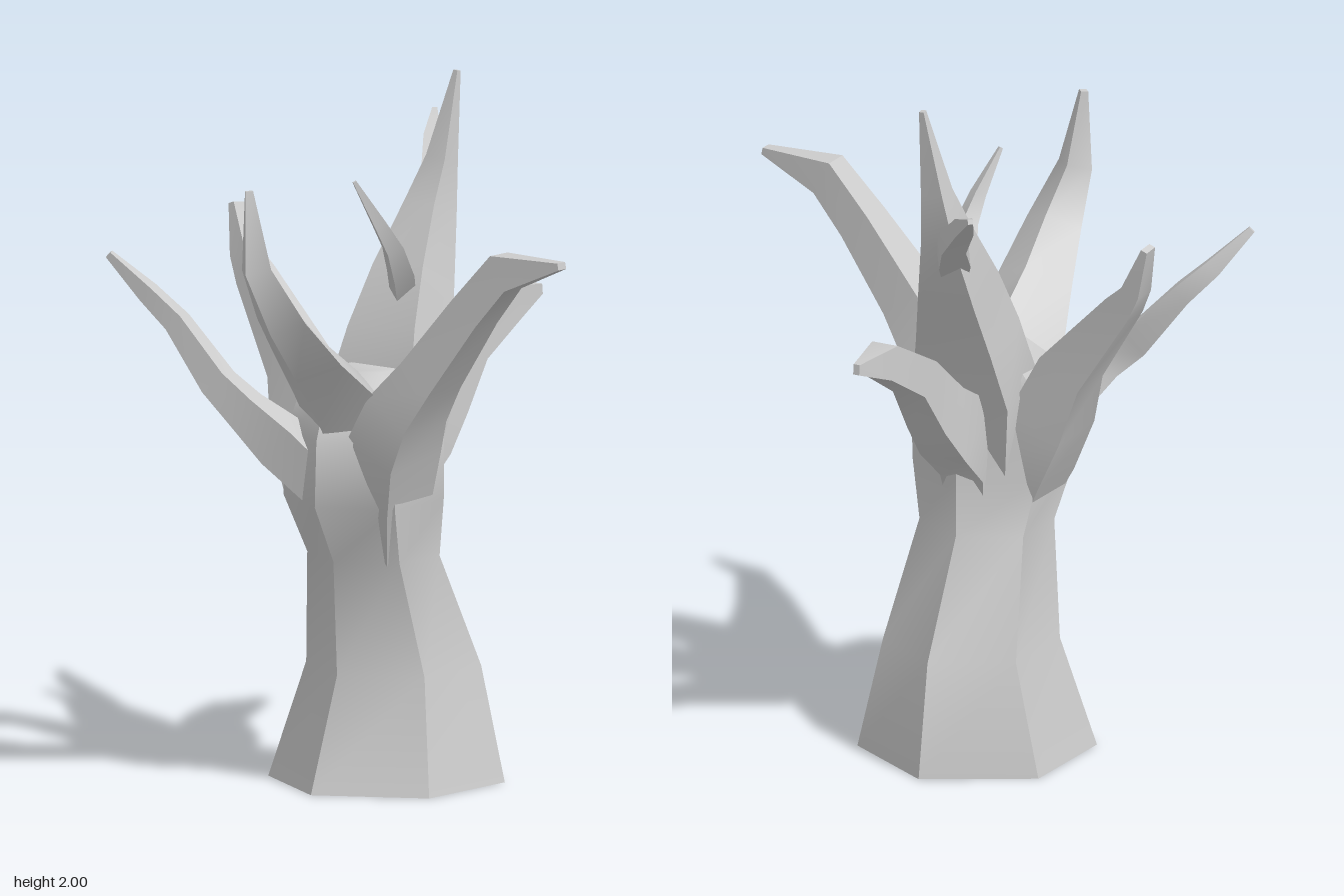
import * as THREE from 'three';
import { toCreasedNormals } from 'three/addons/utils/BufferGeometryUtils.js';

const material = new THREE.MeshStandardMaterial({ color: 0xcccccc });

// Skin a list of equal-sided rings and close both ends
function loft(name, rings) {
  const n = rings[0].length;
  const last = (rings.length - 1) * n;
  const index = [];
  for (let i = 0; i < rings.length - 1; i++) {
    for (let j = 0; j < n; j++) {
      const a = i * n + j, b = i * n + (j + 1) % n;
      index.push(a, b, b + n, a, b + n, a + n);
    }
  }
  for (let j = 1; j < n - 1; j++) {
    index.push(0, j + 1, j);
    index.push(last, last + j, last + j + 1);
  }
  const geometry = new THREE.BufferGeometry().setFromPoints(rings.flat());
  geometry.setIndex(index);
  const mesh = new THREE.Mesh(toCreasedNormals(geometry, 0.75), material);
  mesh.name = name;
  return mesh;
}

// Four-sided limb through stations [x, y, z, width, height].
// heading is its horizontal direction [x, z]; diamond turns the section by 45 degrees.
function limb(name, heading, stations, diamond = false) {
  const points = stations.map(([x, y, z]) => new THREE.Vector3(x, y, z));
  const across = new THREE.Vector3(heading[1], 0, -heading[0]).normalize();
  const corners = diamond
    ? [[1, 0], [0, 1], [-1, 0], [0, -1]]
    : [[1, -1], [1, 1], [-1, 1], [-1, -1]];
  const rings = stations.map(([, , , w, h], i) => {
    const before = points[Math.max(i - 1, 0)];
    const after = points[Math.min(i + 1, points.length - 1)];
    const along = after.clone().sub(before).normalize();
    const up = along.clone().cross(across).normalize();
    const side = up.clone().cross(along);
    return corners.map(([s, u]) => points[i].clone()
      .addScaledVector(side, s * w / 2)
      .addScaledVector(up, u * h / 2));
  });
  return loft(name, rings);
}

export function createModel() {
  const tree = new THREE.Group();
  tree.name = 'bareTree';

  // Six-sided trunk: [y, centre x, centre z, radius x, radius z]
  const trunk = [
    [0, -0.005, -0.085, 0.34, 0.34],
    [0.33, 0.025, -0.083, 0.255, 0.25],
    [0.66, -0.07, -0.08, 0.18, 0.195],
    [0.83, -0.12, -0.075, 0.22, 0.235],
    [1.02, -0.125, -0.065, 0.22, 0.23],
    [1.12, -0.105, -0.075, 0.195, 0.195],
    [1.2, -0.09, -0.08, 0.1, 0.1],
  ].map(([y, cx, cz, rx, rz]) => Array.from({ length: 6 }, (_, k) => {
    const a = (k + 0.5) * Math.PI / 3;
    return new THREE.Vector3(cx + rx * Math.sin(a), y, cz + rz * Math.cos(a));
  }));
  tree.add(loft('trunk', trunk));

  // Main limbs, each rooted inside the trunk
  tree.add(limb('frontBranch', [0, 1], [
    [-0.1, 0.62, -0.03, 0.1, 0.14],
    [-0.15, 0.84, 0.03, 0.19, 0.18],
    [-0.19, 1.0, 0.09, 0.21, 0.18],
    [-0.207, 1.12, 0.155, 0.18, 0.16],
    [-0.21, 1.23, 0.245, 0.14, 0.13],
    [-0.205, 1.43, 0.4, 0.1, 0.11],
    [-0.2, 1.555, 0.51, 0.08, 0.11],
    [-0.2, 1.595, 0.715, 0.035, 0.02],
  ]));
  tree.add(limb('rightBranch', [-1, 0], [
    [-0.1, 0.85, -0.06, 0.28, 0.24],
    [-0.25, 1.13, -0.055, 0.34, 0.22],
    [-0.41, 1.27, -0.045, 0.24, 0.15],
    [-0.54, 1.4, -0.035, 0.18, 0.12],
    [-0.62, 1.555, -0.06, 0.11, 0.1],
    [-0.623, 1.78, -0.085, 0.03, 0.03],
  ], true));
  tree.add(limb('leftLowBranch', [1, 0], [
    [-0.03, 0.68, -0.08, 0.1, 0.14],
    [0.0, 0.86, -0.08, 0.14, 0.17],
    [0.115, 0.99, -0.08, 0.15, 0.2],
    [0.22, 1.08, -0.075, 0.125, 0.15],
    [0.34, 1.21, -0.075, 0.105, 0.11],
    [0.52, 1.31, -0.07, 0.085, 0.1],
    [0.66, 1.325, -0.065, 0.02, 0.03],
  ]));
  tree.add(limb('backBranch', [0, -1], [
    [-0.09, 0.62, -0.12, 0.12, 0.14],
    [-0.1, 0.84, -0.2, 0.21, 0.19],
    [-0.08, 1.0, -0.285, 0.19, 0.18],
    [-0.05, 1.17, -0.365, 0.13, 0.15],
    [-0.01, 1.4, -0.56, 0.08, 0.09],
    [0.0, 1.46, -0.605, 0.07, 0.06],
    [0.02, 1.595, -0.655, 0.045, 0.02],
  ]));
  tree.add(limb('backRightBranch', [-0.3, -1], [
    [-0.21, 0.86, -0.12, 0.12, 0.12],
    [-0.31, 1.0, -0.225, 0.12, 0.13],
    [-0.365, 1.09, -0.31, 0.085, 0.1],
    [-0.375, 1.16, -0.4, 0.075, 0.085],
    [-0.387, 1.32, -0.54, 0.06, 0.06],
    [-0.42, 1.4, -0.62, 0.05, 0.05],
    [-0.485, 1.51, -0.71, 0.02, 0.02],
  ]));

  // Tallest limb with its fork and twig
  tree.add(limb('tallBranch', [1, 0], [
    [-0.06, 0.75, -0.08, 0.2, 0.14],
    [-0.005, 1.08, -0.08, 0.31, 0.19],
    [0.06, 1.27, -0.09, 0.24, 0.18],
    [0.14, 1.43, -0.105, 0.18, 0.16],
    [0.235, 1.61, -0.12, 0.11, 0.11],
    [0.275, 1.75, -0.11, 0.07, 0.06],
    [0.312, 2.0, -0.085, 0.015, 0.015],
  ]));
  tree.add(limb('tallBranchFork', [0.78, -0.62], [
    [0.16, 1.48, -0.1, 0.07, 0.08],
    [0.25, 1.57, -0.15, 0.09, 0.1],
    [0.35, 1.635, -0.205, 0.07, 0.065],
    [0.49, 1.745, -0.32, 0.05, 0.05],
    [0.605, 1.81, -0.405, 0.015, 0.015],
  ]));
  tree.add(limb('tallBranchTwig', [-1, 0.2], [
    [0.08, 1.36, -0.09, 0.08, 0.08],
    [0.01, 1.46, -0.045, 0.085, 0.09],
    [-0.05, 1.545, -0.025, 0.07, 0.07],
    [-0.1, 1.62, -0.035, 0.05, 0.05],
    [-0.165, 1.745, -0.072, 0.015, 0.015],
  ], true));

  return tree;
}
